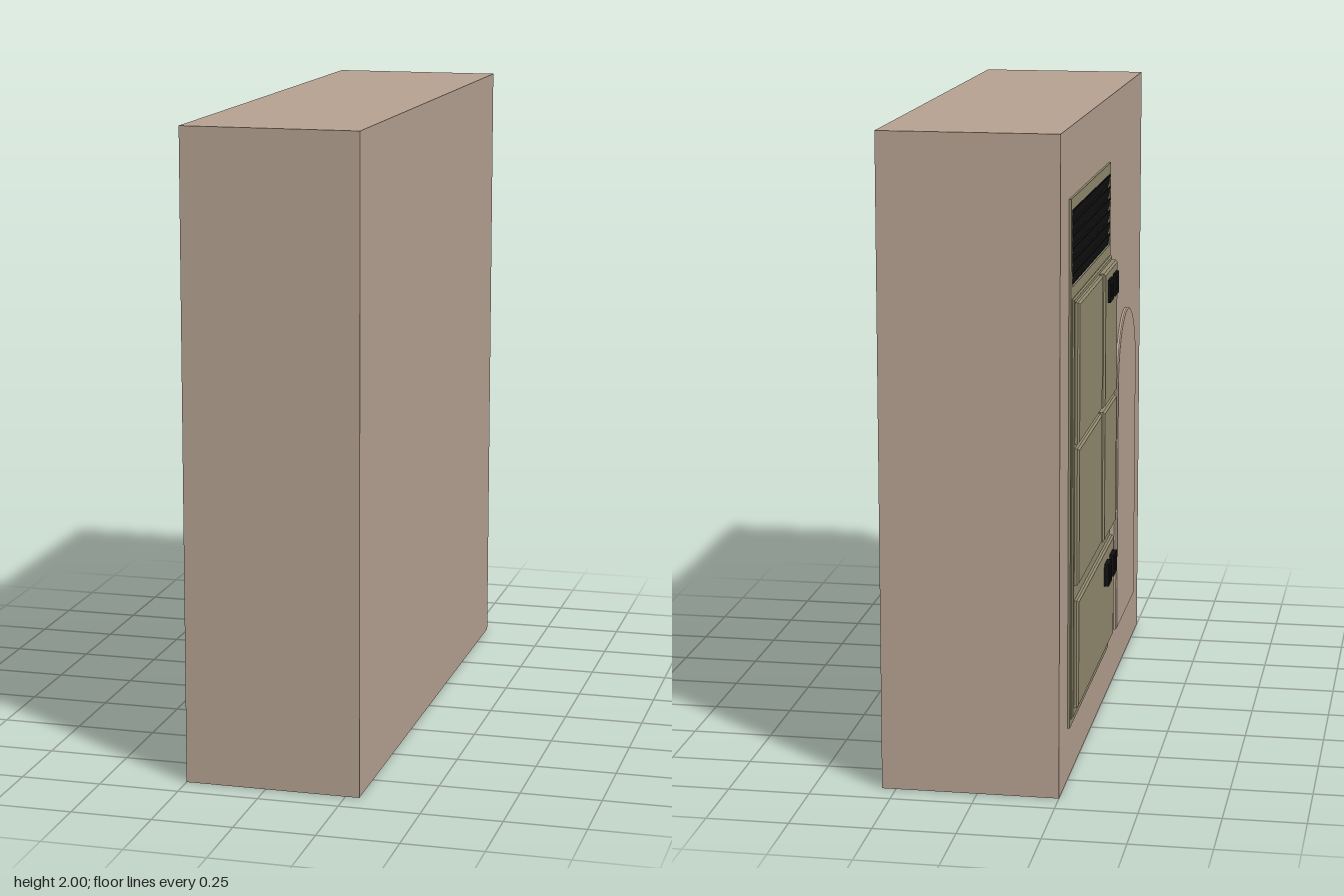
import * as THREE from 'three';

const FACE = -0.25; // wall surface that carries the fittings

const material = (color) => new THREE.MeshStandardMaterial({ color });

function rect(path, z0, z1, y0, y1) {
  path.moveTo(z0, y0);
  path.lineTo(z1, y0);
  path.lineTo(z1, y1);
  path.lineTo(z0, y1);
  path.closePath();
  return path;
}

export function createModel() {
  const model = new THREE.Group();
  const wallMat = material(0xb5a191);
  const panelMat = material(0x918a6e);
  const blackMat = material(0x111111);
  const steelMat = material(0x6b7480);

  // Shapes are drawn in (z, y) and extruded away from the wall, towards -x
  function extrude(name, shape, mat, from, to, bevel = 0) {
    const geo = new THREE.ExtrudeGeometry(shape, {
      depth: to - from - bevel,
      bevelEnabled: bevel > 0,
      bevelThickness: bevel,
      bevelSize: bevel,
      bevelOffset: -bevel,
      bevelSegments: 1,
      curveSegments: 24,
    });
    const mesh = new THREE.Mesh(geo, mat);
    mesh.name = name;
    mesh.rotation.y = -Math.PI / 2;
    mesh.position.x = FACE - from;
    model.add(mesh);
    return mesh;
  }
  const slab = (name, z0, z1, y0, y1, mat, from, to, bevel) =>
    extrude(name, rect(new THREE.Shape(), z0, z1, y0, y1), mat, from, to, bevel);

  // Solid wall block
  const wall = new THREE.Mesh(new THREE.BoxGeometry(0.543, 2, 1.83), wallMat);
  wall.name = 'wallBlock';
  wall.position.set(FACE + 0.2715, 1, 0);
  model.add(wall);

  // Shallow arched panel
  const arch = new THREE.Shape();
  arch.moveTo(0.28, 0.17);
  arch.lineTo(0.732, 0.17);
  arch.lineTo(0.732, 1.014);
  arch.absarc(0.506, 1.014, 0.226, 0, Math.PI, false);
  arch.closePath();
  extrude('archedPanel', arch, wallMat, 0, 0.011, 0.004);

  // Cabinet surround with an opening for the vent
  const surround = rect(new THREE.Shape(), -0.75, 0.095, 0.165, 1.79);
  surround.holes.push(rect(new THREE.Path(), -0.725, 0.075, 1.525, 1.755));
  extrude('cabinetSurround', surround, panelMat, 0, 0.007);

  // Vent backing and tilted slats
  slab('ventBacking', -0.725, 0.075, 1.525, 1.755, blackMat, 0, 0.001);
  const slatGeo = new THREE.BoxGeometry(0.003, 0.036, 0.8);
  for (let i = 0; i < 6; i++) {
    const slat = new THREE.Mesh(slatGeo, blackMat);
    slat.name = 'ventSlat';
    slat.position.set(FACE - 0.004, 1.545 + i * 0.038, -0.325);
    slat.rotation.z = 0.2;
    model.add(slat);
  }

  // Raised cabinet body behind the doors
  slab('cabinetBody', -0.735, 0.085, 0.19, 1.49, panelMat, 0.005, 0.014, 0.004);

  // Two rows of doors, wide and narrow, above a full-width drawer
  for (const [y0, y1] of [[0.608, 1.033], [1.047, 1.477]]) {
    slab('wideDoor', -0.715, -0.222, y0, y1, panelMat, 0.012, 0.028, 0.006);
    slab('narrowDoor', -0.207, 0.073, y0, y1, panelMat, 0.012, 0.034, 0.006);
  }
  slab('drawer', -0.715, 0.073, 0.22, 0.56, panelMat, 0.012, 0.028, 0.006);

  // Paired square latches: black rim around a steel plate
  for (const [y, base] of [[0.483, 0.026], [1.413, 0.032]]) {
    for (const z of [-0.12, 0]) {
      const rim = rect(new THREE.Shape(), z - 0.037, z + 0.037, y - 0.036, y + 0.036);
      rim.holes.push(rect(new THREE.Path(), z - 0.02, z + 0.02, y - 0.02, y + 0.02));
      extrude('latchRim', rim, blackMat, base, 0.043);
      slab('latchPlate', z - 0.02, z + 0.02, y - 0.02, y + 0.02, steelMat, base, 0.037);
    }
  }
  return model;
}
